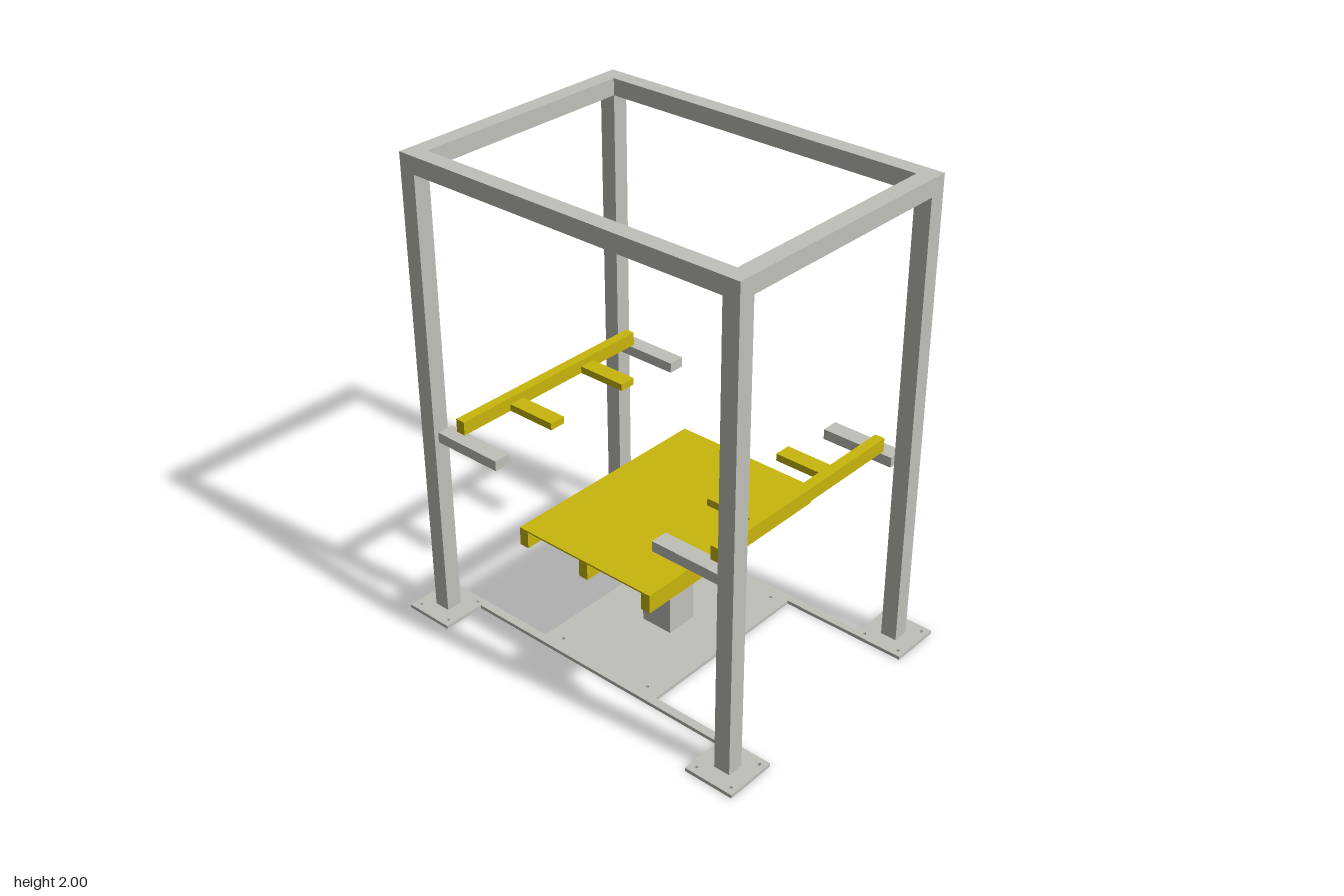
import * as THREE from 'three';

const steel = new THREE.MeshStandardMaterial({ color: 0xc0c0ba });
steel.name = 'greySteel';
const yellow = new THREE.MeshStandardMaterial({ color: 0xc8b60c });
yellow.name = 'yellowPaint';

const BASE = 0.015; // thickness of the floor plates
const SIDES = [-1, 1];

// Box given by its limits along each axis
function block(parent, name, material, [x0, x1], [y0, y1], [z0, z1]) {
  const mesh = new THREE.Mesh(new THREE.BoxGeometry(x1 - x0, y1 - y0, z1 - z0), material);
  mesh.position.set((x0 + x1) / 2, (y0 + y1) / 2, (z0 + z1) / 2);
  mesh.name = name;
  parent.add(mesh);
  return mesh;
}

// Limits mirrored to the chosen side of the centre
const span = (side, a, b) => (side > 0 ? [a, b] : [-b, -a]);

// Flat floor plate with four bolt holes
function floorPlate(parent, name, x, z, w, d, holeX, holeZ) {
  const shape = new THREE.Shape([
    new THREE.Vector2(-w / 2, -d / 2), new THREE.Vector2(w / 2, -d / 2),
    new THREE.Vector2(w / 2, d / 2), new THREE.Vector2(-w / 2, d / 2),
  ]);
  for (const sx of SIDES) for (const sz of SIDES) {
    shape.holes.push(new THREE.Path().absarc(sx * holeX, sz * holeZ, 0.007, 0, Math.PI * 2, true));
  }
  const geometry = new THREE.ExtrudeGeometry(shape, { depth: BASE, bevelEnabled: false, curveSegments: 12 });
  geometry.rotateX(-Math.PI / 2);
  const mesh = new THREE.Mesh(geometry, steel);
  mesh.position.set(x, 0, z);
  mesh.name = name;
  parent.add(mesh);
}

export function createModel() {
  const model = new THREE.Group();
  model.name = 'workStation';

  // Floor: centre plate, four feet and the strips joining them
  const floor = new THREE.Group();
  floor.name = 'floorBase';
  floorPlate(floor, 'centrePlate', 0, 0, 0.89, 0.59, 0.38, 0.225);
  for (const sx of SIDES) for (const sz of SIDES) {
    floorPlate(floor, 'footPlate', sx * 0.519, sz * 0.741, 0.222, 0.218, 0.081, 0.081);
    block(floor, 'joiningStrip', steel, span(sx, 0.408, 0.445), [0, BASE], span(sz, 0.295, 0.632));
  }
  model.add(floor);

  // Outer frame: posts and top rails
  const frame = new THREE.Group();
  frame.name = 'frame';
  for (const sx of SIDES) {
    for (const sz of SIDES) {
      block(frame, 'post', steel, span(sx, 0.485, 0.555), [BASE, 1.93], span(sz, 0.708, 0.778));
    }
    block(frame, 'sideRail', steel, span(sx, 0.485, 0.555), [1.93, 2], [-0.778, 0.778]);
  }
  for (const sz of SIDES) {
    block(frame, 'endRail', steel, [-0.485, 0.485], [1.93, 2], span(sz, 0.708, 0.778));
  }
  model.add(frame);

  // Central column and the table it carries
  block(model, 'column', steel, [-0.072, 0.072], [BASE, 0.478], [-0.072, 0.072]);
  const table = new THREE.Group();
  table.name = 'table';
  block(table, 'tableTop', yellow, [-0.483, 0.483], [0.55, 0.557], [-0.333, 0.333]);
  for (const z of [-0.312, 0, 0.312]) {
    block(table, 'tableBeam', yellow, [-0.483, 0.483], [0.478, 0.55], [z - 0.021, z + 0.021]);
  }
  model.add(table);

  // Support arms on the posts, each pair holding a crossbar with two prongs
  for (const sz of SIDES) {
    const rest = new THREE.Group();
    rest.name = sz > 0 ? 'frontRest' : 'backRest';
    block(rest, 'crossbar', yellow, [-0.483, 0.483], [0.854, 0.912], span(sz, 0.616, 0.658));
    for (const sx of SIDES) {
      block(rest, 'supportArm', steel, span(sx, 0.463, 0.535), [0.811, 0.854], span(sz, 0.393, 0.708));
      block(rest, 'prong', yellow, span(sx, 0.165, 0.236), [0.854, 0.884], span(sz, 0.393, 0.616));
    }
    model.add(rest);
  }

  return model;
}
